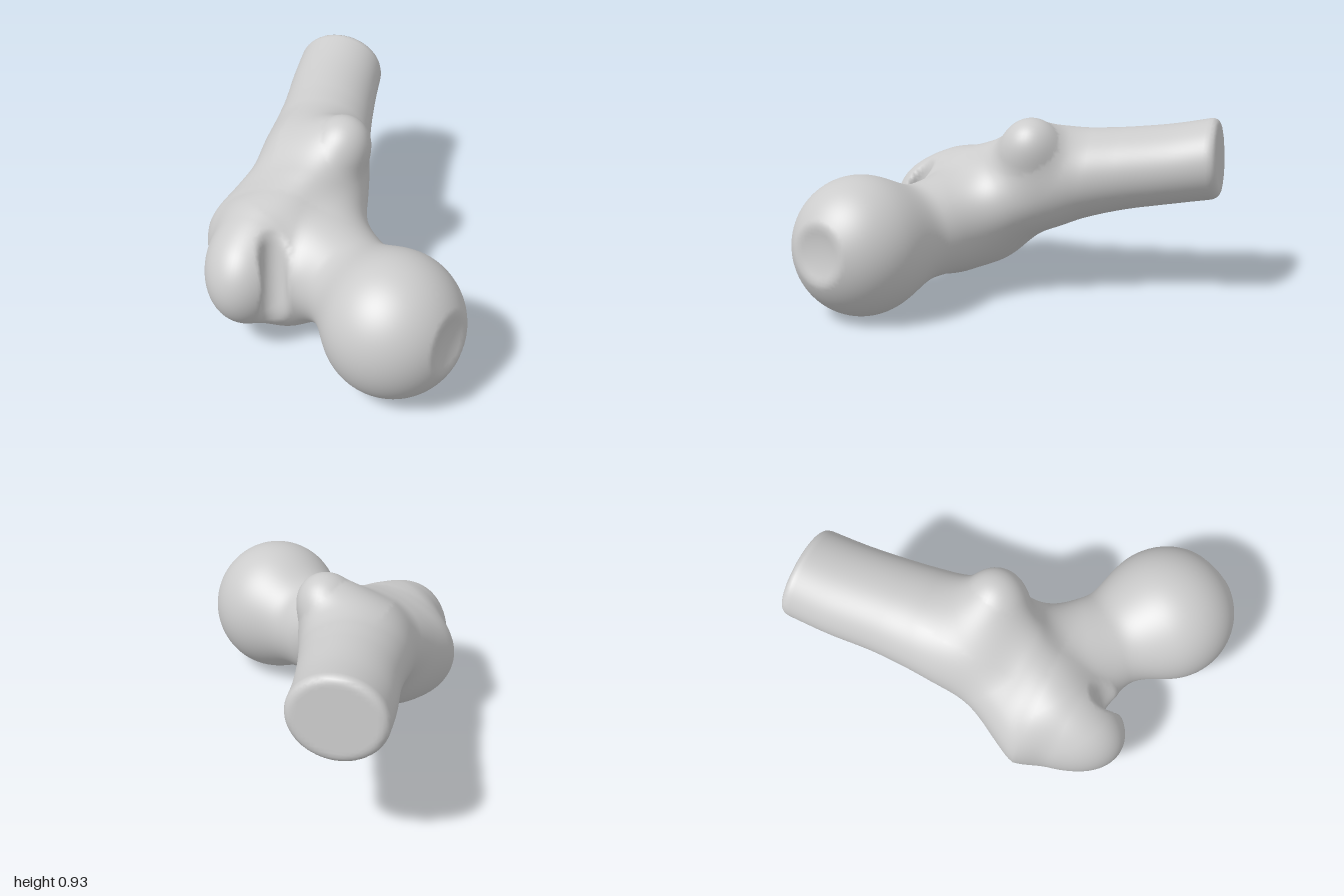
import * as THREE from 'three';

// Upper thigh bone: rounded volumes blended into one smooth skin, split into named parts.
const V = (x, y, z) => new THREE.Vector3(x, y, z);

// Smooth union and smooth intersection of two signed distances
function blend(a, b, k) {
  const h = Math.max(k - Math.abs(a - b), 0) / k;
  return Math.min(a, b) - h * h * k / 4;
}
const cut = (a, b, k) => -blend(-a, -b, k);

function ellipsoid(p, c, r) {
  const x = (p.x - c.x) / r.x, y = (p.y - c.y) / r.y, z = (p.z - c.z) / r.z;
  const k0 = Math.hypot(x, y, z), k1 = Math.hypot(x / r.x, y / r.y, z / r.z);
  return k1 < 1e-6 ? -Math.min(r.x, r.y, r.z) : k0 * (k0 - 1) / k1;
}

// Tapered rod with round ends
function rod(p, a, b, ra, rb) {
  const dx = b.x - a.x, dy = b.y - a.y, dz = b.z - a.z;
  const px = p.x - a.x, py = p.y - a.y, pz = p.z - a.z;
  const t = Math.min(1, Math.max(0, (px * dx + py * dy + pz * dz) / (dx * dx + dy * dy + dz * dz)));
  return Math.hypot(px - t * dx, py - t * dy, pz - t * dz) - (ra + (rb - ra) * t);
}

// Shaft cross-sections along z: centre x, centre y, half width, half height
const shaftZ = [-1, -0.75, -0.5, -0.25, 0, 0.3];
const shaftRows = [
  -0.367, 0.735, 0.229, 0.207,
  -0.345, 0.69, 0.237, 0.203,
  -0.31, 0.655, 0.245, 0.211,
  -0.28, 0.61, 0.27, 0.238,
  -0.265, 0.53, 0.295, 0.262,
  -0.37, 0.38, 0.32, 0.285,
];
const shaftAt = new THREE.CubicInterpolant(shaftZ, shaftRows, 4);

function shaft(p) {
  const [cx, cy, rx, ry] = shaftAt.evaluate(Math.min(0.3, Math.max(-1, p.z)));
  const x = (p.x - cx) / rx, y = (p.y - cy) / ry;
  const k0 = Math.hypot(x, y), k1 = Math.hypot(x / rx, y / ry);
  const d = k1 < 1e-6 ? -Math.min(rx, ry) : k0 * (k0 - 1) / k1;
  return cut(d, p.z - 0.37, 0.14);
}

const headC = V(0.36, 0.35, 0.66), headR = V(0.336, 0.349, 0.34);
const pitC = headC.clone().addScaledVector(V(0.93, 0.09, 0.33).normalize(), 0.745);
const trochC = V(-0.392, 0.37, 0.42), trochR = V(0.228, 0.285, 0.333);

// Points describing the rods
const neckA = V(0.33, 0.352, 0.605), neckB = V(-0.28, 0.365, 0.22);
const webA = V(-0.02, 0.42, 0.3), webB = V(-0.2, 0.56, -0.1);
const lesserA = V(-0.088, 0.811, -0.08), lesserB = V(-0.26, 0.65, -0.12);
const crestA = V(-0.12, 0.73, -0.02), crestB = V(-0.33, 0.53, 0.36);
const heelA = V(-0.23, 0.175, 0.42), heelB = V(-0.38, 0.3, 0.35);
const fossaA = V(-0.228, 0.2, 0.66), fossaB = V(-0.238, 0.62, 0.57);

const volumes = {
  shaft,
  greaterTrochanter: p => blend(
    ellipsoid(p, trochC, trochR),
    rod(p, heelA, heelB, 0.133, 0.2), 0.12),
  trochantericCrest: p => rod(p, crestA, crestB, 0.1, 0.135),
  lesserTrochanter: p => rod(p, lesserA, lesserB, 0.122, 0.2),
  medialWeb: p => rod(p, webA, webB, 0.155, 0.155),
  neck: p => rod(p, neckA, neckB, 0.248, 0.235),
  head: p => ellipsoid(p, headC, headR),
};
const blendWidth = {
  shaft: 0.1, greaterTrochanter: 0.1, trochantericCrest: 0.15,
  lesserTrochanter: 0.13, medialWeb: 0.12, neck: 0.15, head: 0.09,
};

const pit = p => 0.46 - p.distanceTo(pitC);
const sawPlane = p => -1 - p.z + 0.08 * (p.y - 0.56);

function bone(p) {
  let d = 10;
  for (const name in volumes) d = blend(d, volumes[name](p), blendWidth[name]);
  d = cut(d, -rod(p, fossaA, fossaB, 0.065, 0.06), 0.03); // hollow beside the greater trochanter
  d = cut(d, sawPlane(p), 0.05); // sawn end
  return cut(d, pit(p), 0.02); // ligament pit
}

function gradient(p) {
  const e = 0.003, q = p.clone(), g = V(0, 0, 0);
  for (const a of ['x', 'y', 'z']) {
    q[a] = p[a] + e;
    g[a] = bone(q);
    q[a] = p[a] - e;
    g[a] = (g[a] - bone(q)) / (2 * e);
    q[a] = p[a];
  }
  return g;
}

function partAt(p) {
  if (sawPlane(p) > -0.006) return 'sawnEnd';
  if (pit(p) > -0.004) return 'headPit';
  let best = 'shaft', low = 10;
  for (const name in volumes) {
    const d = volumes[name](p);
    if (d < low) { low = d; best = name; }
  }
  return best;
}

// Skin the blended volume on a grid: one vertex per crossed cell, one quad per crossed edge
function skin(min, size, step) {
  const n = size.map(s => Math.ceil(s / step) + 1);
  const stride = [1, n[0], n[0] * n[1]];
  const field = new Float32Array(n[0] * n[1] * n[2]);
  const at = (i, j, k) => V(min[0] + i * step, min[1] + j * step, min[2] + k * step);
  const each = (from, fn) => {
    for (let k = from; k < n[2] - 1; k++)
      for (let j = from; j < n[1] - 1; j++)
        for (let i = from; i < n[0] - 1; i++) fn(i, j, k, i + j * stride[1] + k * stride[2]);
  };
  field.fill(1);
  each(0, (i, j, k, id) => { field[id] = bone(at(i, j, k)); });

  const verts = new Map();
  each(0, (i, j, k, id) => {
    const sum = V(0, 0, 0);
    let count = 0;
    for (let c = 0; c < 8; c++) {
      const o = [c & 1, (c >> 1) & 1, c >> 2];
      const ia = id + o[0] + o[1] * stride[1] + o[2] * stride[2];
      for (let a = 0; a < 3; a++) {
        if (o[a]) continue;
        const fa = field[ia], fb = field[ia + stride[a]];
        if ((fa < 0) === (fb < 0)) continue;
        const q = [...o];
        q[a] += fa / (fa - fb);
        sum.add(V(...q));
        count++;
      }
    }
    if (!count) return;
    const p = at(i, j, k).addScaledVector(sum, step / count);
    const g = gradient(p);
    const move = -bone(p) / Math.max(g.lengthSq(), 0.2);
    p.addScaledVector(g, THREE.MathUtils.clamp(move, -step / 2, step / 2));
    verts.set(id, { p, n: gradient(p).normalize() });
  });

  const parts = {};
  each(1, (i, j, k, id) => {
    for (let a = 0; a < 3; a++) {
      const inside = field[id] < 0;
      if (inside === field[id + stride[a]] < 0) continue;
      const b = stride[(a + 1) % 3], c = stride[(a + 2) % 3];
      const quad = [id, id - b, id - b - c, id - c].map(v => verts.get(v));
      if (!inside) quad.reverse();
      const mid = V(0, 0, 0);
      quad.forEach(v => mid.addScaledVector(v.p, 0.25));
      const part = (parts[partAt(mid)] ??= { pos: [], nor: [] });
      for (const v of [0, 1, 2, 0, 2, 3]) {
        part.pos.push(...quad[v].p.toArray());
        part.nor.push(...quad[v].n.toArray());
      }
    }
  });
  return parts;
}

export function createModel() {
  const group = new THREE.Group();
  group.name = 'thighBone';
  const material = new THREE.MeshStandardMaterial({ color: 0xcccccc });
  const parts = skin([-0.771, -0.053, -1.051], [1.55, 1.1, 2.15], 0.02);
  for (const name in parts) {
    const geometry = new THREE.BufferGeometry();
    geometry.setAttribute('position', new THREE.Float32BufferAttribute(parts[name].pos, 3));
    geometry.setAttribute('normal', new THREE.Float32BufferAttribute(parts[name].nor, 3));
    const mesh = new THREE.Mesh(geometry, material);
    mesh.name = name;
    group.add(mesh);
  }
  return group;
}
